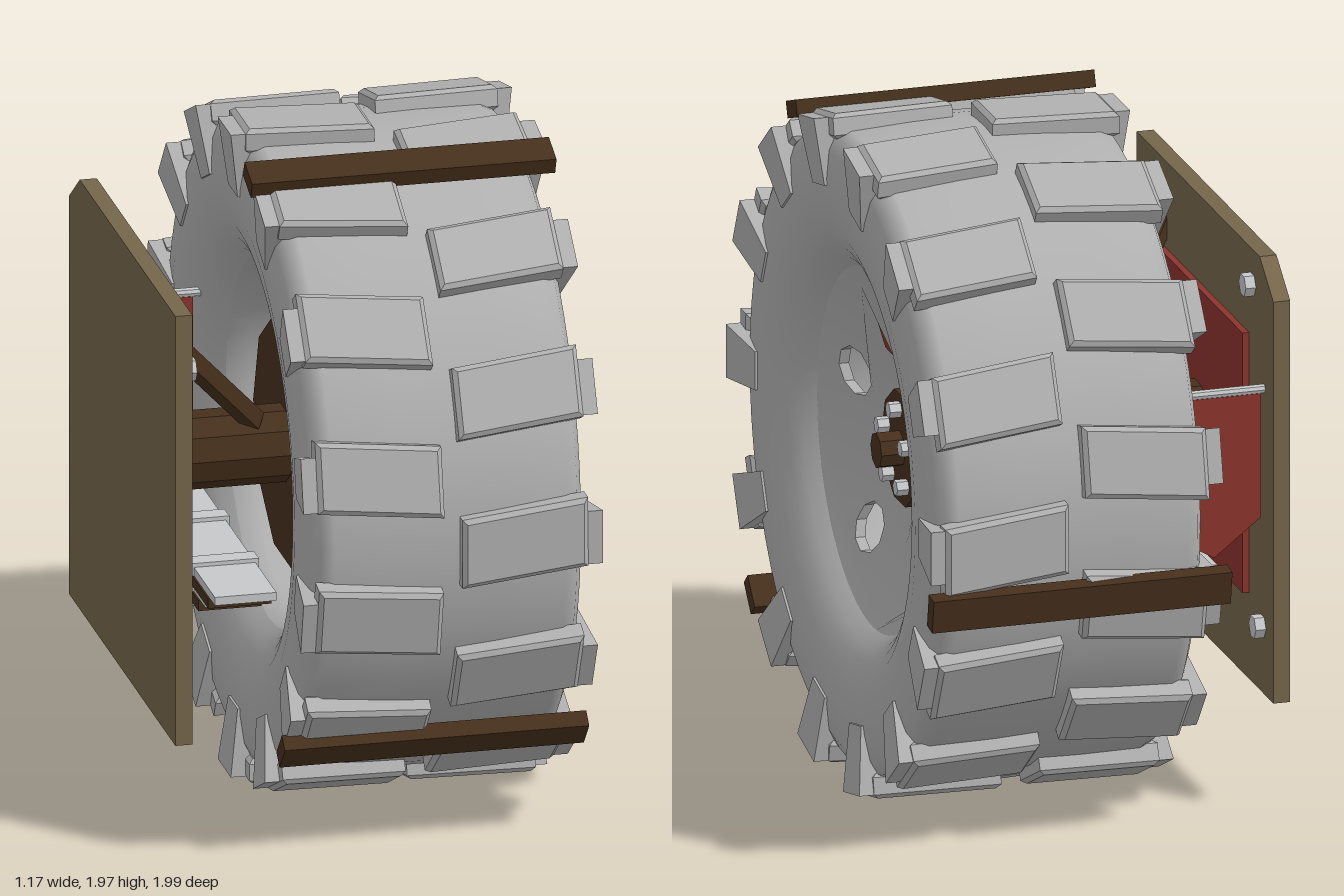
import * as THREE from 'three';

const mat = (name, color, side = THREE.FrontSide) => {
  const m = new THREE.MeshStandardMaterial({ color, side });
  m.name = name;
  return m;
};

export function createModel() {
  const grey = mat('tyre grey', 0xb0b0b0, THREE.DoubleSide);
  const steel = mat('pale steel', 0xc6c8ca);
  const brown = mat('dark brown', 0x46301c);
  const tan = mat('tan board', 0x75664b);
  const red = mat('dull red', 0x8c332d);

  const model = new THREE.Group();
  const wheel = new THREE.Group();   // axle runs along x through this origin
  wheel.name = 'wheel';
  wheel.position.set(0, 0.995, 0.01);
  model.add(wheel);

  const add = (parent, name, geo, material, x = 0, y = 0, z = 0) => {
    const m = new THREE.Mesh(geo, material);
    m.name = name;
    m.position.set(x, y, z);
    parent.add(m);
    return m;
  };
  const box = (parent, name, material, x0, x1, y0, y1, z0, z1) =>
    add(parent, name, new THREE.BoxGeometry(x1 - x0, y1 - y0, z1 - z0), material,
      (x0 + x1) / 2, (y0 + y1) / 2, (z0 + z1) / 2);
  // cylinder along x from x0 to x1
  const rod = (parent, name, material, r, sides, x0, x1, y = 0, z = 0) => {
    const g = new THREE.CylinderGeometry(r, r, x1 - x0, sides).toNonIndexed();
    g.computeVertexNormals();
    return add(parent, name, g.rotateZ(-Math.PI / 2), material, (x0 + x1) / 2, y, z);
  };
  const lathe = (name, pts, material) => add(wheel, name,
    new THREE.LatheGeometry(pts.map(([r, x]) => new THREE.Vector2(r, x)), 64).rotateZ(-Math.PI / 2), material);

  // Tyre carcass: half profile mirrored about the tread centre
  const mid = 0.145;
  const half = [[0.53, 0.305], [0.56, 0.34], [0.6, 0.37], [0.65, 0.393], [0.72, 0.405], [0.8, 0.405],
    [0.88, 0.395], [0.92, 0.375], [0.937, 0.34], [0.943, 0.15]];
  lathe('tyre', [...half.map(([r, x]) => [r, mid - x]),
    ...half.slice().reverse().map(([r, x]) => [r, mid + x])], grey);
  lathe('rimBarrel', [[0.53, 0.45], [0.51, 0.42], [0.5, 0.3], [0.5, -0.1], [0.53, -0.16]], grey);

  // Tread blocks and shoulder blocks, staggered between the two sides
  const treadBlock = (side) => {
    const c = side * 0.21, w = 0.17, h = 0.09, k = side * 0.11 * w;
    const s = new THREE.Shape([[c - w, -h - k], [c + w, -h + k], [c + w, h + k], [c - w, h - k]]
      .map(([x, y]) => new THREE.Vector2(x, y)));
    return new THREE.ExtrudeGeometry(s, { depth: 0.05, bevelSize: 0.014, bevelThickness: 0.012, bevelSegments: 1 })
      .rotateX(-Math.PI / 2).translate(mid, 0.922, 0);
  };
  const shoulderBlock = (side) => {
    const g = new THREE.BoxGeometry(1, 1, 1);
    const p = g.attributes.position;
    for (let i = 0; i < p.count; i++) {
      const top = p.getY(i) > 0, out = p.getX(i) * side > 0;
      const x = out ? (top ? 0.437 : 0.412) : 0.35;
      p.setXYZ(i, mid + side * x, top ? 0.972 : 0.775, Math.sign(p.getZ(i)) * (top ? 0.08 : 0.058));
    }
    g.computeVertexNormals();
    return g;
  };
  for (const side of [1, -1]) {
    const tread = treadBlock(side), shoulder = shoulderBlock(side);
    for (let i = 0; i < 14; i++) {
      const a = Math.PI / 2 + (i + (side < 0 ? 0.5 : 0)) * Math.PI / 7;
      add(wheel, 'treadBlock', tread, grey).rotation.x = a;
      add(wheel, 'shoulderBlock', shoulder, grey).rotation.x = a;
    }
  }

  // Three planks strapped across the tread
  for (const deg of [70, 189.4, -41.6]) {
    const a = deg * Math.PI / 180;
    const plank = add(wheel, 'treadPlank', new THREE.BoxGeometry(0.89, 0.05, 0.1), brown,
      0.14, 0.99 * Math.sin(a), 0.99 * Math.cos(a));
    plank.rotation.x = Math.PI / 2 - a;
  }

  // Dished wheel disc in three bands; the middle one has four round openings
  const circle = (r, n, cx = 0, cy = 0) => Array.from({ length: n }, (_, i) => {
    const a = (i + 0.5) / n * Math.PI * 2;
    return new THREE.Vector2(cx + r * Math.cos(a), cy + r * Math.sin(a));
  });
  for (const [r0, r1] of [[0.12, 0.29], [0.29, 0.47], [0.47, 0.53]]) {
    const s = new THREE.Shape(circle(r1, 64));
    s.holes.push(new THREE.Path(circle(r0, 64)));
    if (r0 === 0.29) for (const deg of [18, 162, 234, 306]) {
      const a = deg * Math.PI / 180;
      s.holes.push(new THREE.Path(circle(0.074, 9, 0.38 * Math.cos(a), 0.38 * Math.sin(a))));
    }
    const g = new THREE.ExtrudeGeometry(s, { depth: 0.03, bevelEnabled: false }).rotateY(Math.PI / 2);
    const p = g.attributes.position, n = g.attributes.normal, v = new THREE.Vector3();
    for (let i = 0; i < p.count; i++) {
      const y = p.getY(i), z = p.getZ(i), nx = n.getX(i);
      if (Math.abs(nx) > 0.9) {
        v.set(1, -0.92 * y, -0.92 * z).normalize().multiplyScalar(Math.sign(nx));
        n.setXYZ(i, v.x, v.y, v.z);
      }
      p.setX(i, p.getX(i) + 0.29 + 0.46 * (y * y + z * z));
    }
    add(wheel, 'wheelDisc', g, grey);
  }

  // Hub, centre nut, wheel bolts and the red cover on the disc
  rod(wheel, 'hub', brown, 0.17, 10, 0.28, 0.37);
  rod(wheel, 'hubNut', brown, 0.053, 8, 0.36, 0.44);
  for (let i = 0; i < 5; i++) {
    const a = Math.PI / 2 + i * Math.PI * 0.4;
    rod(wheel, 'wheelBolt', steel, 0.024, 6, 0.36, 0.405, 0.117 * Math.sin(a), 0.117 * Math.cos(a));
  }
  const cover = new THREE.Shape([[-0.12, -0.065], [0.12, -0.07], [0.115, 0.06], [0, 0.075], [-0.11, 0.06]]
    .map(([x, y]) => new THREE.Vector2(x, y)));
  add(wheel, 'discCover', new THREE.ExtrudeGeometry(cover, { depth: 0.03, bevelEnabled: false })
    .rotateY(Math.PI / 2), red, 0.365, 0.335, 0).rotation.z = -0.3;

  // Brake drum and axle
  rod(wheel, 'brakeDrum', brown, 0.365, 10, -0.12, 0.28);
  rod(wheel, 'axle', brown, 0.113, 10, -0.53, -0.1);

  // Mounting board with one clipped corner (shape x is -z)
  const board = new THREE.Shape([[-0.655, 0.345], [0.64, 0.345], [0.64, 1.55], [0.51, 1.645], [-0.655, 1.645]]
    .map(([x, y]) => new THREE.Vector2(x, y)));
  add(model, 'mountingBoard', new THREE.ExtrudeGeometry(board, { depth: 0.05, bevelEnabled: false })
    .rotateY(Math.PI / 2), tan, -0.59);
  box(model, 'redBackplate', red, -0.54, -0.52, 0.605, 1.385, -0.41, 0.39);
  for (const [y, z] of [[0.45, 0.545], [0.545, -0.45], [-0.45, -0.545], [-0.545, 0.45]])
    rod(wheel, 'boardBolt', steel, 0.035, 6, -0.545, -0.51, y, z);

  // Diagonal brace from the board to the axle
  const from = new THREE.Vector3(-0.54, 1.47, 0.41), to = new THREE.Vector3(-0.22, 1.09, 0.06);
  const brace = add(model, 'brace', new THREE.BoxGeometry(0.055, 0.05, from.distanceTo(to)), brown);
  brace.position.copy(from).add(to).multiplyScalar(0.5);
  brace.lookAt(to);

  // Hanging flap on a thin rod
  rod(model, 'flapRod', steel, 0.014, 8, -0.54, -0.2, 1.262, -0.55);
  const flap = new THREE.Shape([[-0.53, 1.25], [-0.53, 0.88], [-0.39, 0.77], [-0.25, 0.85], [-0.25, 1.25]]
    .map(([x, y]) => new THREE.Vector2(x, y)));
  add(model, 'flap', new THREE.ExtrudeGeometry(flap, { depth: 0.012, bevelEnabled: false }), red, 0, 0, -0.556);

  // Stack of leaf springs with two clamps
  box(model, 'leaf', steel, -0.43, -0.25, 0.69, 0.715, -0.46, 0.47);
  box(model, 'leaf', brown, -0.435, -0.25, 0.66, 0.69, -0.4, 0.41);
  box(model, 'leaf', steel, -0.43, -0.25, 0.642, 0.66, -0.34, 0.35);
  box(model, 'leaf', brown, -0.435, -0.25, 0.61, 0.642, -0.28, 0.29);
  for (const z of [-0.175, 0.185])
    box(model, 'springClamp', steel, -0.445, -0.24, 0.6, 0.727, z - 0.03, z + 0.03);

  return model;
}
